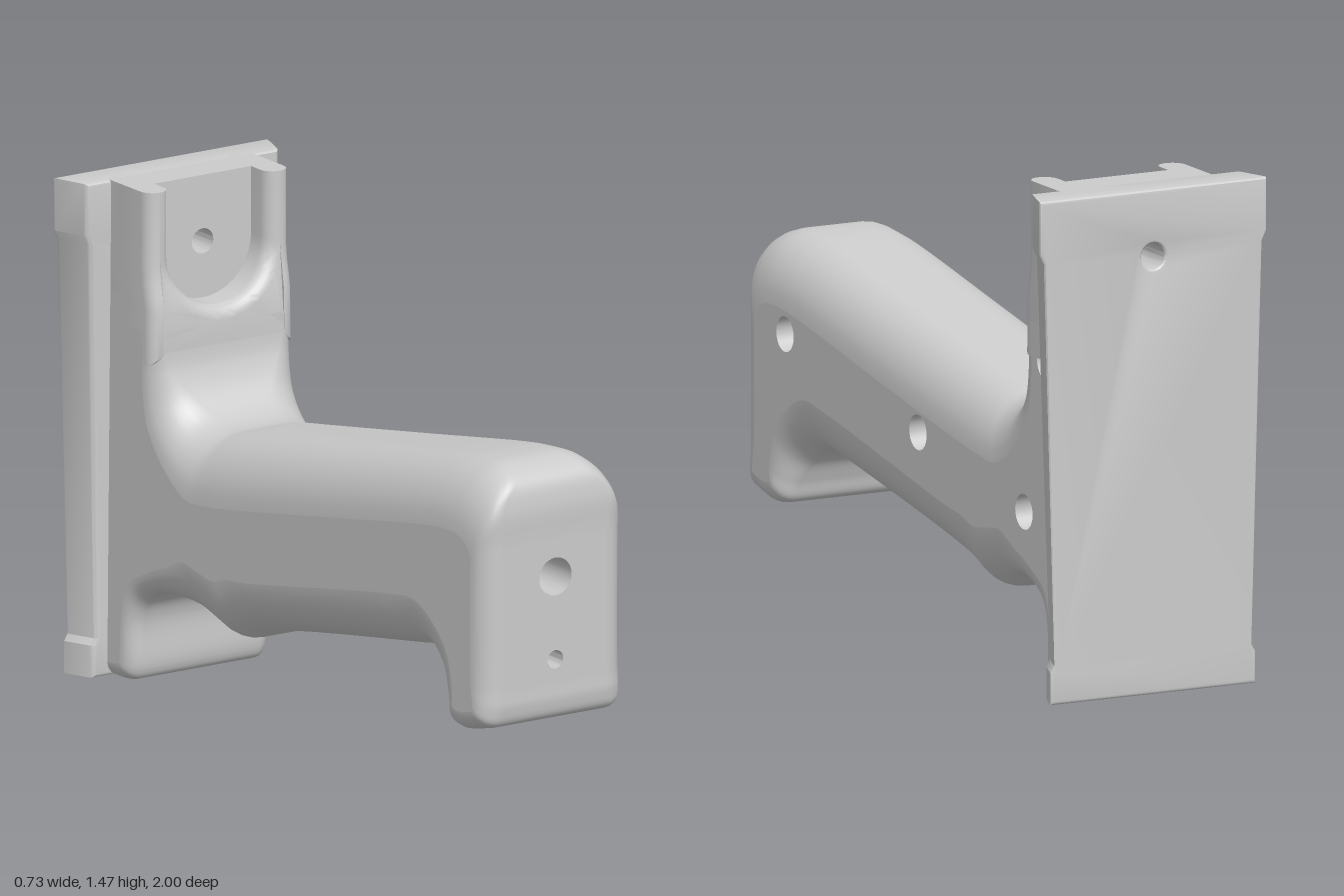
import * as THREE from 'three';
import { toCreasedNormals } from 'three/addons/utils/BufferGeometryUtils.js';

const HW = 0.247;      // half width of grip and column
const BACK = -0.95;    // column runs into the mounting plate
const mat = new THREE.MeshStandardMaterial({ color: 0xcccccc });
const thin = new THREE.MeshStandardMaterial({ color: 0xcccccc, side: THREE.DoubleSide });

// Side profile stations: outer z, y | where the rounding meets the flat side z, y | rounding width in x
const upperProfile = [
  [-0.67, 1.06, -0.72, 1.06, 0.05], [-0.67, 1.0, -0.72, 1.0, 0.05], [-0.66, 0.94, -0.725, 0.92, 0.07],
  [-0.62, 0.86, -0.7, 0.78, 0.12], [-0.56, 0.812, -0.61, 0.67, 0.16], [-0.48, 0.797, -0.51, 0.61, 0.17],
  [-0.4, 0.81, -0.43, 0.61, 0.17], [0.2, 0.917, 0.17, 0.715, 0.17], [0.7, 1.007, 0.68, 0.81, 0.17],
  [0.8, 1.02, 0.8, 0.825, 0.17], [0.9, 1.02, 0.87, 0.82, 0.16], [0.975, 0.985, 0.91, 0.8, 0.13],
  [1, 0.91, 0.93, 0.765, 0.07], [1, 0.8, 0.93, 0.72, 0.07], [1, 0.38, 0.93, 0.4, 0.07],
];
const FRONT_FACE = 13; // flat segment between the last two stations above
const lowerProfile = [
  [1, 0.32, 0.94, 0.34, 0.07], [0.985, 0.275, 0.94, 0.32, 0.06], [0.93, 0.255, 0.92, 0.31, 0.06],
  [0.85, 0.24, 0.86, 0.3, 0.06], [0.8, 0.255, 0.84, 0.31, 0.06], [0.78, 0.31, 0.84, 0.35, 0.07],
  [0.75, 0.37, 0.81, 0.46, 0.1], [0.69, 0.41, 0.73, 0.54, 0.14], [0.62, 0.415, 0.64, 0.58, 0.17],
  [0.5, 0.395, 0.53, 0.57, 0.17], [-0.25, 0.258, -0.22, 0.43, 0.17], [-0.31, 0.235, -0.3, 0.42, 0.17],
  [-0.37, 0.21, -0.37, 0.4, 0.17], [-0.43, 0.23, -0.45, 0.41, 0.16], [-0.5, 0.268, -0.53, 0.42, 0.12],
  [-0.6, 0.29, -0.6, 0.39, 0.08], [-0.7, 0.28, -0.72, 0.34, 0.06], [-0.76, 0.24, -0.8, 0.29, 0.05],
  [-0.785, 0.18, -0.83, 0.2, 0.05], [-0.79, 0.04, -0.84, 0.06, 0.05], [-0.81, 0.005, -0.845, 0.05, 0.05],
  [BACK, 0, BACK, 0.04, 0.04],
];

function add(parent, name, geometry, material = mat) {
  const mesh = new THREE.Mesh(geometry, material);
  mesh.name = name;
  parent.add(mesh);
  return mesh;
}

function circle(x, y, r) {
  return new THREE.Path().absarc(x, y, r, 0, Math.PI * 2, true);
}

function polygon(points) {
  return new THREE.Shape(points.map(([x, y]) => new THREE.Vector2(x, y)));
}

// Move every vertex by a rule
function warp(geometry, rule) {
  const p = geometry.attributes.position, v = new THREE.Vector3();
  for (let i = 0; i < p.count; i++) {
    rule(v.fromBufferAttribute(p, i));
    p.setXYZ(i, v.x, v.y, v.z);
  }
  return geometry;
}

// Stepped blind hole opening toward +y
function boreGeometry(r, depth, innerR = 0, innerDepth = depth) {
  const pts = [[r, 0], [r, -depth], [innerR, -depth]];
  if (innerR) pts.push([innerR, -innerDepth], [0, -innerDepth]);
  return toCreasedNormals(new THREE.LatheGeometry(pts.map(([x, y]) => new THREE.Vector2(x, y)), 32), 0.6);
}

// Grip and column: rounded strip around the side profile, closed by flat sides
function buildGrip(group) {
  const keys = [...upperProfile, ...lowerProfile];
  const outer = new THREE.CatmullRomCurve3(keys.map(k => new THREE.Vector3(k[4], k[1], k[0])));
  const inner = new THREE.CatmullRomCurve3(keys.map(k => new THREE.Vector3(0, k[3], k[2])));
  const SUB = 6, ARC = 8, rows = (keys.length - 1) * SUB, cols = 2 * ARC + 2;
  const pos = [], idx = [], sideLine = [];
  for (let i = 0; i <= rows; i++) {
    const o = outer.getPoint(i / rows), n = inner.getPoint(i / rows);
    sideLine.push([n.z, n.y]);
    for (let j = 0; j < cols; j++) {
      const left = j > ARC;
      const a = (left ? j - ARC - 1 : ARC - j) / ARC * Math.PI / 2;
      const x = HW - o.x + o.x * Math.sin(a), k = 1 - Math.cos(a);
      pos.push(left ? x : -x, o.y + (n.y - o.y) * k, o.z + (n.z - o.z) * k);
    }
  }
  for (let i = 0; i < rows; i++) {
    const onFront = Math.floor(i / SUB) === FRONT_FACE;
    for (let j = 0; j < cols - 1; j++) {
      if (onFront && j === ARC) continue; // left open for the drilled front panel
      const a = i * cols + j, b = a + cols;
      idx.push(a, b, a + 1, b, b + 1, a + 1);
    }
  }
  const strip = new THREE.BufferGeometry();
  strip.setAttribute('position', new THREE.Float32BufferAttribute(pos, 3));
  strip.setIndex(idx);
  strip.computeVertexNormals();
  add(group, 'gripShell', strip);

  // Flat sides, the left one with counterbored screw holes
  sideLine.push([BACK, 1.06]);
  const screws = [[0.745, 0.753], [-0.048, 0.613], [-0.68, 0.498], [-0.81, 0.957]];
  const leftSide = polygon(sideLine.map(([z, y]) => [-z, y]));
  leftSide.holes = screws.map(([z, y]) => circle(-z, y, 0.052));
  add(group, 'gripLeftSide', new THREE.ShapeGeometry(leftSide).rotateY(Math.PI / 2).translate(HW, 0, 0));
  add(group, 'gripRightSide', new THREE.ShapeGeometry(polygon(sideLine)).rotateY(-Math.PI / 2).translate(-HW, 0, 0));
  for (const [z, y] of screws) {
    const bore = add(group, 'screwHole', boreGeometry(0.052, 0.07, 0.027, 0.3), thin);
    bore.rotation.z = -Math.PI / 2;
    bore.position.set(HW, y, z);
  }

  // Front panel with two bores
  const w = HW - 0.07;
  const panel = polygon([[-w, 0.38], [w, 0.38], [w, 0.8], [-w, 0.8]]);
  for (const [y, r] of [[0.69, 0.056], [0.445, 0.027]]) {
    panel.holes.push(circle(0, y, r));
    const bore = add(group, 'frontBore', boreGeometry(r, 0.3), thin);
    bore.rotation.x = Math.PI / 2;
    bore.position.set(0, y, 1);
  }
  add(group, 'frontPanel', new THREE.ShapeGeometry(panel, 24).translate(0, 0, 1));
}

// Top of the column: drilled web plus a rounded U-shaped rim around the recess
function buildColumnTop(group) {
  const web = polygon([[-HW, 1.0], [HW, 1.0], [HW, 1.47], [-HW, 1.47]]);
  web.holes.push(circle(0, 1.275, 0.037));
  const webGeo = new THREE.ExtrudeGeometry(web, { depth: -0.78 - BACK, bevelEnabled: false, curveSegments: 24 });
  add(group, 'columnWeb', toCreasedNormals(webGeo.translate(0, 0, BACK), 0.6));

  const R = 0.167, B = 0.04, top = 1.47 + B;
  const rim = polygon([[-HW, 0.96], [HW, 0.96], [HW, 1.12], [HW, 1.16], [HW, 1.2], [HW, 1.25], [HW, top], [R, top]]);
  rim.lineTo(R, 1.275);
  rim.absarc(0, 1.275, R, 0, -Math.PI, true);
  rim.lineTo(-R, top);
  for (const y of [top, 1.25, 1.2, 1.16, 1.12]) rim.lineTo(-HW, y);
  const rimGeo = new THREE.ExtrudeGeometry(rim, {
    depth: 0.15, bevelThickness: B, bevelSize: B, bevelOffset: -B, bevelSegments: 6, curveSegments: 24,
  });
  rimGeo.translate(0, 0, -0.692 - 0.15 - B);
  warp(rimGeo, v => {
    v.y = Math.min(v.y, 1.47);
    // the front swells slightly toward the grip
    if (v.z > -0.78) v.z += 0.022 * (1 - THREE.MathUtils.smoothstep(v.y, 1.1, 1.25));
  });
  add(group, 'recessRim', toCreasedNormals(rimGeo, 0.6));
}

// Tapered dovetail plate with wider pads at both ends
function buildPlate(group) {
  const edge = [[0.335, 0], [0.335, 0.095], [0.323, 0.115], [0.357, 1.285], [0.371, 1.315], [0.371, 1.47]];
  const shape = polygon([...edge, ...edge.map(([x, y]) => [-x, y]).reverse()]);
  shape.holes.push(circle(0, 1.275, 0.037));
  const b = 0.012;
  const geo = new THREE.ExtrudeGeometry(shape, {
    depth: 0.12 - 2 * b, bevelThickness: b, bevelSize: b, bevelOffset: -b, bevelSegments: 3, curveSegments: 24,
  });
  geo.translate(0, 0, b - 1);
  warp(geo, v => {
    const t = (v.z + 1) / 0.12;
    if (Math.abs(v.x) > 0.2) v.x -= Math.sign(v.x) * 0.04 * t;
    v.z -= 0.02 * t * (1 - v.y / 1.47);
  });
  add(group, 'mountingPlate', toCreasedNormals(geo, 0.5));
}

export function createModel() {
  const model = new THREE.Group();
  model.name = 'handleWithMount';
  for (const [name, build] of [['grip', buildGrip], ['columnTop', buildColumnTop], ['plate', buildPlate]]) {
    const group = new THREE.Group();
    group.name = name;
    build(group);
    model.add(group);
  }
  return model;
}
